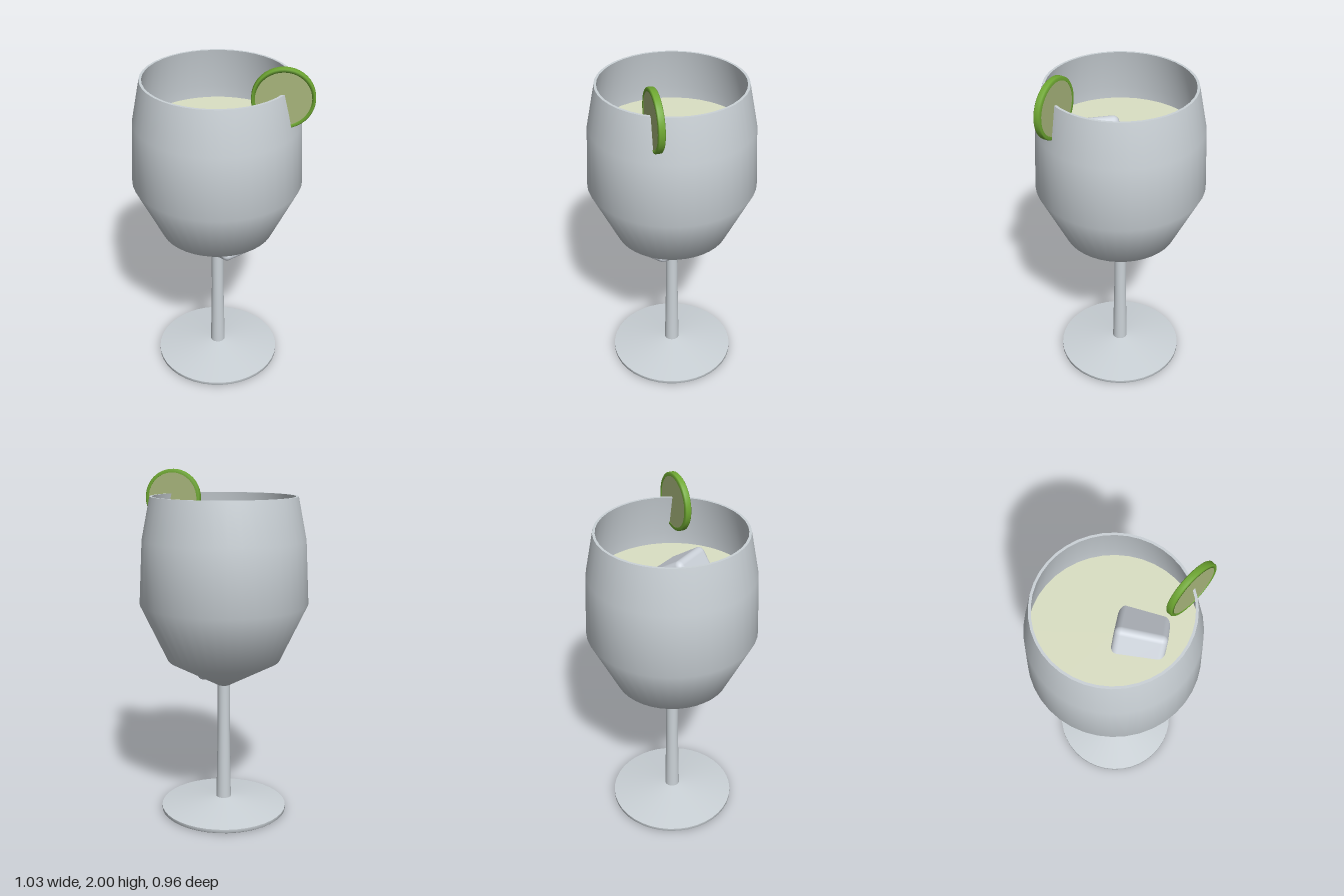
import * as THREE from 'three';
import { RoundedBoxGeometry } from 'three/addons/geometries/RoundedBoxGeometry.js';

const mat = (name, color) => {
  const m = new THREE.MeshStandardMaterial({ color });
  m.name = name;
  return m;
};

export function createModel() {
  const root = new THREE.Group();
  root.name = 'wineGlassWithLime';
  const glass = mat('glass grey', 0xcbd2d7);
  const ice = mat('ice', 0xced4dc);
  const drink = mat('pale drink', 0xdbe0c4);
  const peel = mat('lime peel', 0x6fa832);
  const pulp = mat('lime pulp', 0xa8b67c);

  const add = (parent, name, geo, material) => {
    const mesh = new THREE.Mesh(geo, material);
    mesh.name = name;
    parent.add(mesh);
    return mesh;
  };
  // Profiles run upward on the outside so faces point outward
  const lathe = (pts, seg = 40) =>
    new THREE.LatheGeometry(pts.map(([r, y]) => new THREE.Vector2(r, y)), seg);

  const goblet = new THREE.Group();
  goblet.name = 'goblet';
  goblet.position.x = -0.04;
  root.add(goblet);

  // Foot: flat underside, thin edge, shallow cone
  add(goblet, 'footUnderside', lathe([[0, 0.004], [0.36, 0.004]]), glass);
  add(goblet, 'footEdge', lathe([[0.36, 0.004], [0.37, 0.012], [0.37, 0.03]]), glass);
  add(goblet, 'footTop', lathe([[0.37, 0.03], [0.044, 0.077]]), glass);
  add(goblet, 'stem', lathe([[0.044, 0.07], [0.036, 0.5], [0.036, 0.79]], 24), glass);

  // Bowl: outer wall, rim and inner wall
  const wall = [[0.036, 0.775], [0.325, 0.932], [0.48, 1.26], [0.461, 1.62], [0.413, 1.86]];
  const inner = wall.map(([r, y], i) => [Math.max(0, r - 0.014), y + (i < 2 ? 0.014 : 0)]);
  add(goblet, 'bowlOutside', lathe(wall), glass);
  add(goblet, 'bowlRim', lathe([wall[4], inner[4]]), glass);
  add(goblet, 'bowlInside', lathe([...inner].reverse()), glass);

  // Drink filling the bowl
  const level = 1.55;
  add(goblet, 'drinkSurface', lathe([[0.452, level], [0, level]]), drink);
  add(goblet, 'drinkBody',
    lathe([[0, 0.8], [0.305, 0.955], [0.458, 1.26], [0.448, level]]), drink);

  // Ice cubes, oriented by their top and front directions
  const iceCube = (name, size, center, up, front) => {
    const n = new THREE.Vector3(...up).normalize();
    const x = new THREE.Vector3().crossVectors(n, new THREE.Vector3(...front)).normalize();
    const z = new THREE.Vector3().crossVectors(x, n);
    const cube = add(root, name, new RoundedBoxGeometry(size, size, size, 4, 0.035), ice);
    cube.quaternion.setFromRotationMatrix(new THREE.Matrix4().makeBasis(x, n, z));
    cube.position.set(...center);
  };
  iceCube('floatingIce', 0.28, [0.085, 1.475, 0.055], [0.3, 0.83, -0.45], [-0.37, 0.5, 0.78]);
  iceCube('sunkenIce', 0.25, [0.06, 0.945, 0.035], [-0.3, 0.95, -0.06], [-0.45, 0, 0.9]);

  // Lime slice on the rim
  const lime = new THREE.Group();
  lime.name = 'limeSlice';
  lime.position.set(0.36, 1.835, 0);
  lime.rotation.y = 0.5;
  root.add(lime);
  const R = 0.165, r = 0.145, h = 0.018;
  const ring = lathe([[r, -h], [R - 0.005, -h], [R, -h + 0.005], [R, h - 0.005], [R - 0.005, h], [r, h], [r, -h]], 40);
  ring.rotateX(Math.PI / 2);
  add(lime, 'limePeel', ring, peel);
  const disc = new THREE.CylinderGeometry(r, r, h * 1.8, 40);
  disc.rotateX(Math.PI / 2);
  add(lime, 'limePulp', disc, pulp);

  return root;
}
